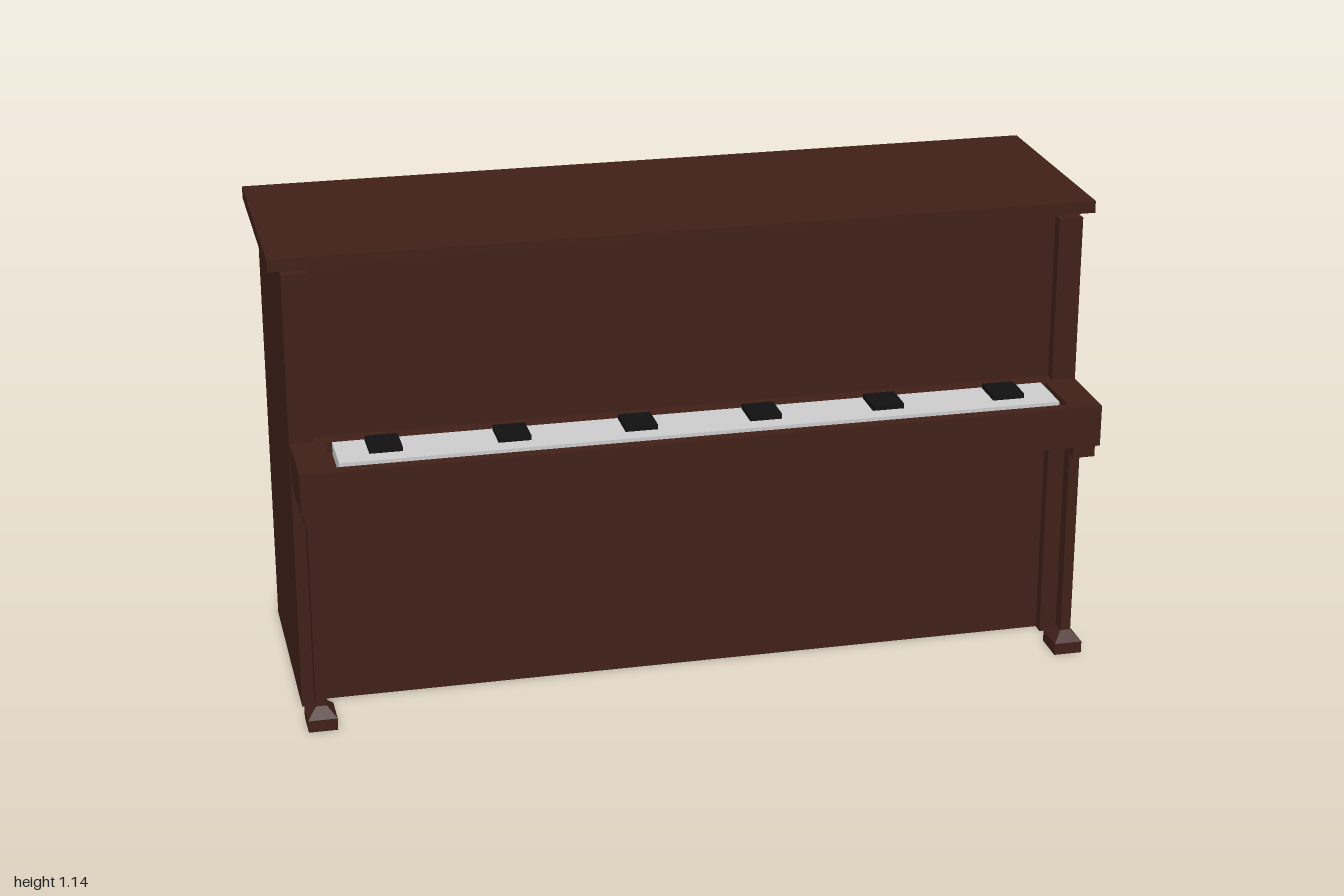
import * as THREE from 'three';

const wood = new THREE.MeshStandardMaterial({ color: 0x402018, flatShading: true });
const ivory = new THREE.MeshStandardMaterial({ color: 0xcccccc, flatShading: true });
const ebony = new THREE.MeshStandardMaterial({ color: 0x111111, flatShading: true });

// Box given by its minimum and maximum on each axis
function block(name, [x0, x1], [y0, y1], [z0, z1], material = wood) {
  const geo = new THREE.BoxGeometry(x1 - x0, y1 - y0, z1 - z0);
  geo.translate((x0 + x1) / 2, (y0 + y1) / 2, (z0 + z1) / 2);
  const mesh = new THREE.Mesh(geo, material);
  mesh.name = name;
  return mesh;
}

// Block whose top and bottom rectangles differ
function taper(name, [y0, y1], bottom, top) {
  const mesh = block(name, [0, 1], [0, 1], [0, 1]);
  const p = mesh.geometry.attributes.position;
  for (let i = 0; i < p.count; i++) {
    const up = p.getY(i) > 0.5;
    const r = up ? top : bottom;
    p.setXYZ(i, p.getX(i) > 0.5 ? r[1] : r[0], up ? y1 : y0, p.getZ(i) > 0.5 ? r[3] : r[2]);
  }
  mesh.geometry.computeVertexNormals();
  return mesh;
}

function rectangle(path, x0, x1, y0, y1) {
  path.moveTo(x0, y0).lineTo(x1, y0).lineTo(x1, y1).lineTo(x0, y1).closePath();
  return path;
}

function leg() {
  const g = new THREE.Group();
  g.name = 'frontLeg';
  g.add(
    block('foot', [0.9, 0.97], [0, 0.03], [0.25, 0.335]),
    taper('footTaper', [0.03, 0.055], [0.9, 0.97, 0.25, 0.335], [0.922, 0.948, 0.275, 0.31]),
    block('legPost', [0.922, 0.948], [0.055, 0.55], [0.275, 0.31]),
    block('legBracket', [0.905, 0.96], [0.55, 0.582], [0.21, 0.378]),
  );
  return g;
}

export function createModel() {
  const model = new THREE.Group();
  model.name = 'uprightPiano';

  // Cabinet with a front panel set back between two side posts
  model.add(block('cabinet', [-0.97, 0.97], [0, 1.1], [-0.355, 0.165]));
  for (const s of [-1, 1]) {
    const x = s < 0 ? [-0.97, -0.91] : [0.91, 0.97];
    model.add(block('sidePost', x, [0, 1.1], [0.165, 0.195]));
  }

  // Lid with a bevelled underside
  model.add(block('lid', [-1, 1], [1.11, 1.14], [-0.39, 0.195]));
  model.add(taper('lidBevel', [1.1, 1.11], [-0.97, 0.97, -0.355, 0.165], [-1, 1, -0.39, 0.195]));

  // Key shelf: solid base and a rim around the key well
  model.add(block('keyShelf', [-0.968, 0.968], [0.582, 0.66], [0.165, 0.39]));
  const rim = rectangle(new THREE.Shape(), -0.968, 0.968, -0.39, -0.165);
  rim.holes.push(rectangle(new THREE.Path(), -0.89, 0.89, -0.362, -0.207));
  const rimGeo = new THREE.ExtrudeGeometry(rim, { depth: 0.025, bevelEnabled: false });
  rimGeo.rotateX(-Math.PI / 2).translate(0, 0.66, 0);
  const rimMesh = new THREE.Mesh(rimGeo, wood);
  rimMesh.name = 'keyShelfRim';
  model.add(rimMesh);

  // White key plate and six black keys
  model.add(block('whiteKeys', [-0.872, 0.872], [0.66, 0.691], [0.22, 0.355], ivory));
  for (let i = 0; i < 6; i++) {
    const x = (i - 2.5) * 0.303;
    model.add(block('blackKey', [x - 0.039, x + 0.039], [0.688, 0.703], [0.226, 0.312], ebony));
  }

  // Front legs
  const left = leg();
  const right = leg();
  right.rotation.y = Math.PI;
  right.position.z = 0.585;
  // the bracket is not quite symmetric front to back
  right.getObjectByName('legBracket').position.z = -0.003;
  model.add(left, right);
  return model;
}
